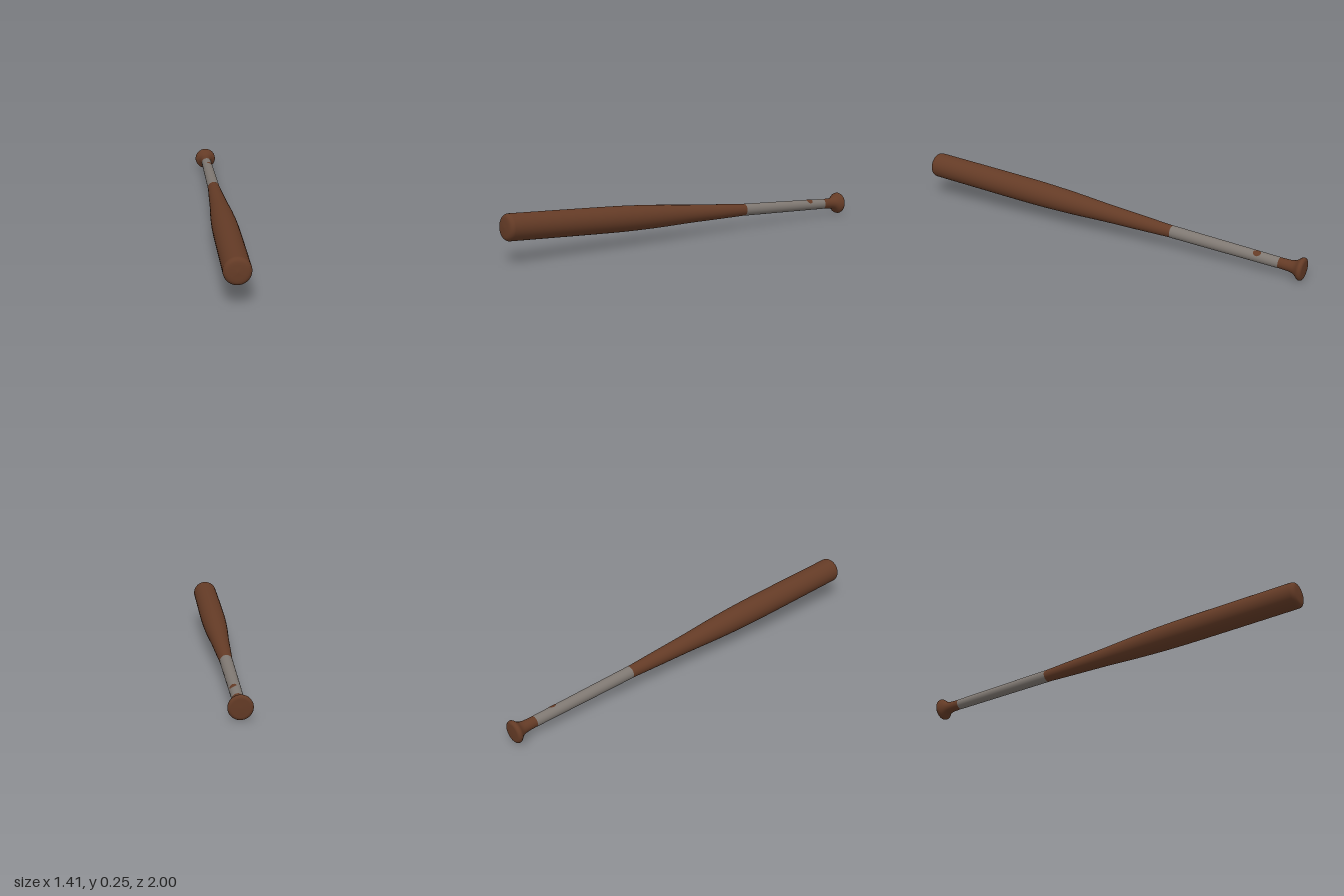
import * as THREE from 'three';

export function createModel() {
  const model = new THREE.Group();
  const wood = new THREE.MeshStandardMaterial({ color: 0x643b26 });
  wood.name = 'brown wood';
  const tape = new THREE.MeshStandardMaterial({ color: 0x7f7872 });
  tape.name = 'grey grip tape';

  // The bat lies along a line from the knob face to the barrel end
  const start = new THREE.Vector3(-0.664, 0.063, -0.976);
  const end = new THREE.Vector3(0.659, 0.186, 0.973);
  const length = start.distanceTo(end);
  const axis = end.clone().sub(start).normalize();
  const side = new THREE.Vector3(axis.z, 0, -axis.x).normalize();
  const under = side.clone().cross(axis);

  // Local frame: y runs along the bat, -z is the upper side
  const bat = new THREE.Group();
  bat.name = 'bat';
  bat.quaternion.setFromRotationMatrix(new THREE.Matrix4().makeBasis(side, axis, under));
  bat.position.copy(start);
  model.add(bat);

  function add(name, geometry, material) {
    const mesh = new THREE.Mesh(geometry, material);
    mesh.name = name;
    bat.add(mesh);
  }
  // Profile points are [radius, distance from the knob face]
  const turn = (points) =>
    new THREE.LatheGeometry(points.map(([r, s]) => new THREE.Vector2(r, s)), 40);

  // Knob flaring out of the bare neck
  add('knob', turn([
    [0, 0], [0.045, 0.001], [0.054, 0.003], [0.06, 0.008], [0.0625, 0.015],
    [0.0615, 0.022], [0.057, 0.029], [0.049, 0.037], [0.041, 0.047],
    [0.035, 0.06], [0.0315, 0.08], [0.03, 0.105], [0.029, 0.145],
  ]), wood);

  // Taped grip
  const tapeStart = 0.14, tapeEnd = 0.775, r0 = 0.03, r1 = 0.0345;
  add('gripTape', turn([
    [0.028, tapeStart], [r0, tapeStart + 0.002], [r1, tapeEnd - 0.002], [0.032, tapeEnd],
  ]), tape);

  // Tapered shaft, barrel and rounded end
  const barrel = new THREE.SplineCurve([
    [0.0335, 0.77], [0.042, 0.96], [0.051, 1.18], [0.062, 1.38],
    [0.069, 1.58], [0.071, 1.8], [0.0705, length - 0.03],
  ].map(([r, s]) => new THREE.Vector2(r, s))).getPoints(28).map((p) => [p.x, p.y]);
  const bevel = 0.026;
  for (let i = 1; i <= 6; i++) {
    const a = (i / 6) * Math.PI / 2;
    barrel.push([0.0705 - bevel * (1 - Math.cos(a)), length - 0.004 - bevel * (1 - Math.sin(a))]);
  }
  barrel.push([0.035, length - 0.002], [0, length]);
  add('barrel', turn(barrel), wood);

  // Small worn spot on the tape, wrapped around the grip
  const spot = new THREE.RingGeometry(0, 0.02, 20, 5);
  const p = spot.attributes.position;
  for (let i = 0; i < p.count; i++) {
    const s = 0.265 + p.getY(i) * 1.1;
    const r = r0 + (r1 - r0) * (s - tapeStart) / (tapeEnd - tapeStart) + 0.0008;
    const a = 0.5 - p.getX(i) / r;
    p.setXYZ(i, r * Math.sin(a), s, -r * Math.cos(a));
  }
  spot.computeVertexNormals();
  add('wornSpot', spot, wood);

  return model;
}
